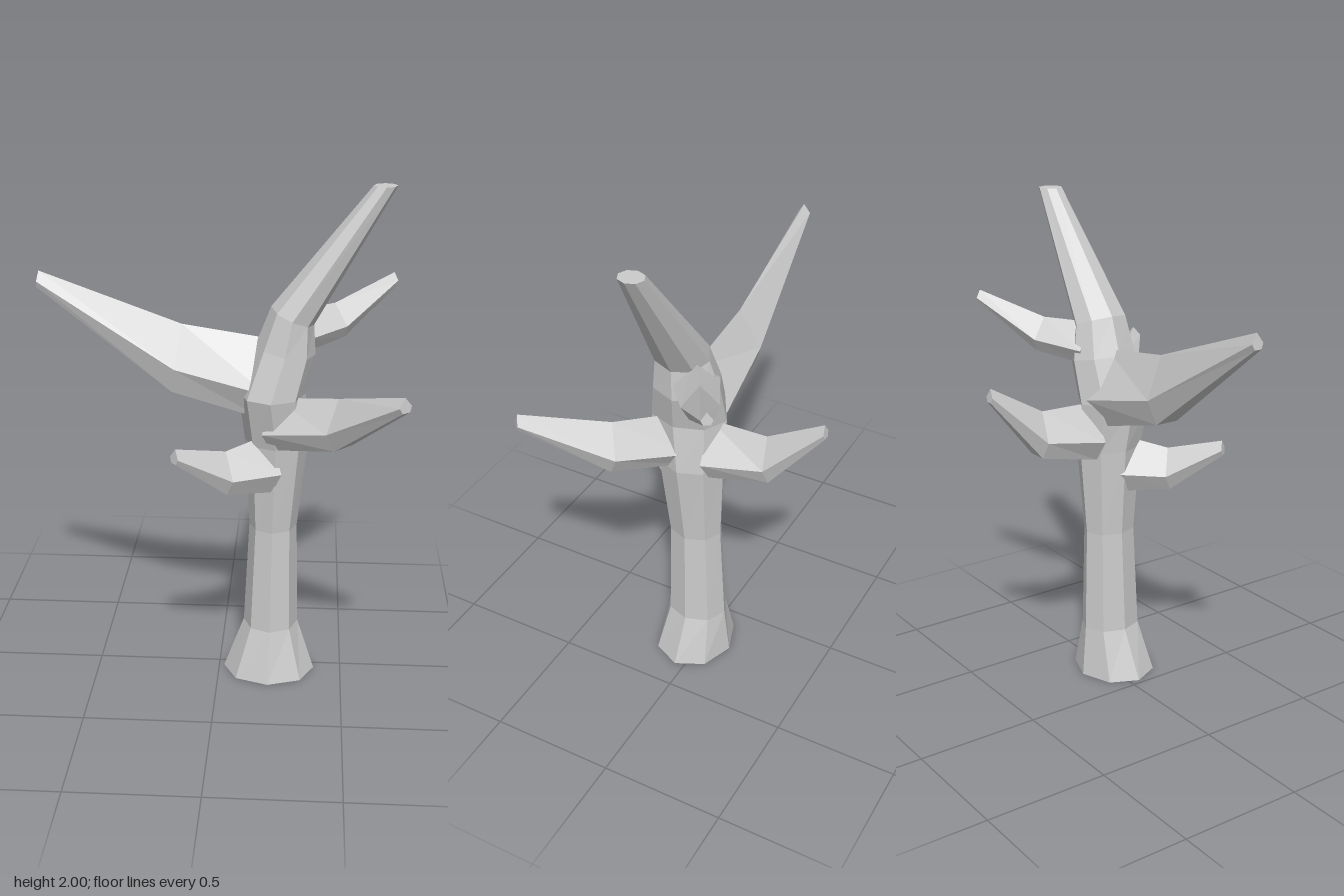
import * as THREE from 'three';

// Skin a list of rings (each counter-clockwise about the growth direction) and cap both ends.
function loft(name, rings) {
  const n = rings[0].length;
  const index = [];
  for (let i = 0; i < rings.length - 1; i++) {
    for (let j = 0; j < n; j++) {
      const k = (j + 1) % n;
      const a = i * n + j, b = i * n + k, c = b + n, d = a + n;
      index.push(a, b, c, a, c, d);
    }
  }
  const last = (rings.length - 1) * n;
  for (let j = 1; j < n - 1; j++) {
    index.push(0, j + 1, j, last, last + j, last + j + 1);
  }
  const geometry = new THREE.BufferGeometry().setFromPoints(rings.flat());
  geometry.setIndex(index);
  const flat = geometry.toNonIndexed();
  flat.computeVertexNormals();
  const mesh = new THREE.Mesh(flat, new THREE.MeshStandardMaterial({ color: 0xcccccc, flatShading: true }));
  mesh.name = name;
  return mesh;
}

// Eight-sided trunk: sections are [x, y, z, radiusX, radiusZ, tilt]
function trunk(name, sections) {
  return loft(name, sections.map(([x, y, z, rx, rz, tilt = 0]) =>
    Array.from({ length: 8 }, (_, i) => {
      const a = i * Math.PI / 4;
      return new THREE.Vector3(x + rx * Math.cos(a), y - tilt * Math.cos(a), z - rz * Math.sin(a));
    })));
}

// Five-sided branch outline: ridge on top, wide sides, flat underside
const OUTLINE = [[0, 1], [-1, -0.25], [-0.6, -1], [0.6, -1], [1, -0.25]];

// Branch with upright rings: sections are [x, y, z, halfWidth, halfHeight]
function branch(name, sections) {
  const up = new THREE.Vector3(0, 1, 0);
  const points = sections.map(([x, y, z]) => new THREE.Vector3(x, y, z));
  return loft(name, sections.map(([, , , w, h], i) => {
    const dir = points[Math.min(i + 1, points.length - 1)].clone().sub(points[Math.max(i - 1, 0)]);
    dir.setY(0).normalize();
    const side = up.clone().cross(dir);
    return OUTLINE.map(([s, v]) => points[i].clone()
      .addScaledVector(side, s * w)
      .addScaledVector(up, v * h)
      .addScaledVector(dir, -0.15 * v * h));
  }));
}

export function createModel() {
  const tree = new THREE.Group();
  tree.name = 'bareTree';

  // Trunk with flared foot, bending into the top leader
  tree.add(trunk('trunk', [
    [0.205, 0, 0.04, 0.185, 0.16],
    [0.21, 0.21, 0.025, 0.11, 0.125],
    [0.215, 0.64, 0.025, 0.095, 0.11],
    [0.225, 1.0, 0.03, 0.125, 0.135],
    [0.205, 1.2, 0.05, 0.13, 0.16],
    [0.255, 1.37, 0.03, 0.115, 0.14, 0.02],
    [0.28, 1.505, 0.035, 0.082, 0.115, 0.035],
    [0.615, 2.0, 0.022, 0.045, 0.05],
  ]));

  // Branches, each rooted inside the trunk
  tree.add(branch('largeRightBranch', [
    [0.2, 1.255, 0.025, 0.125, 0.15],
    [-0.165, 1.33, 0.02, 0.08, 0.13],
    [-0.7, 1.63, 0.018, 0.025, 0.03],
  ]));
  tree.add(branch('frontLeftBranch', [
    [0.23, 1.09, 0.08, 0.11, 0.095],
    [0.47, 1.145, 0.245, 0.085, 0.095],
    [0.69, 1.305, 0.495, 0.03, 0.028],
  ]));
  tree.add(branch('backBranch', [
    [0.22, 1.085, -0.06, 0.115, 0.11],
    [0.22, 1.11, -0.3, 0.07, 0.09],
    [0.22, 1.305, -0.52, 0.022, 0.027],
  ]));
  tree.add(branch('frontRightBranch', [
    [0.19, 0.93, 0.08, 0.105, 0.11],
    [0.025, 0.925, 0.2, 0.075, 0.08],
    [-0.15, 1.03, 0.33, 0.028, 0.028],
  ]));
  tree.add(branch('backLeftBranch', [
    [0.28, 1.43, -0.02, 0.09, 0.08],
    [0.45, 1.45, -0.135, 0.07, 0.065],
    [0.68, 1.58, -0.29, 0.022, 0.024],
  ]));
  return tree;
}
